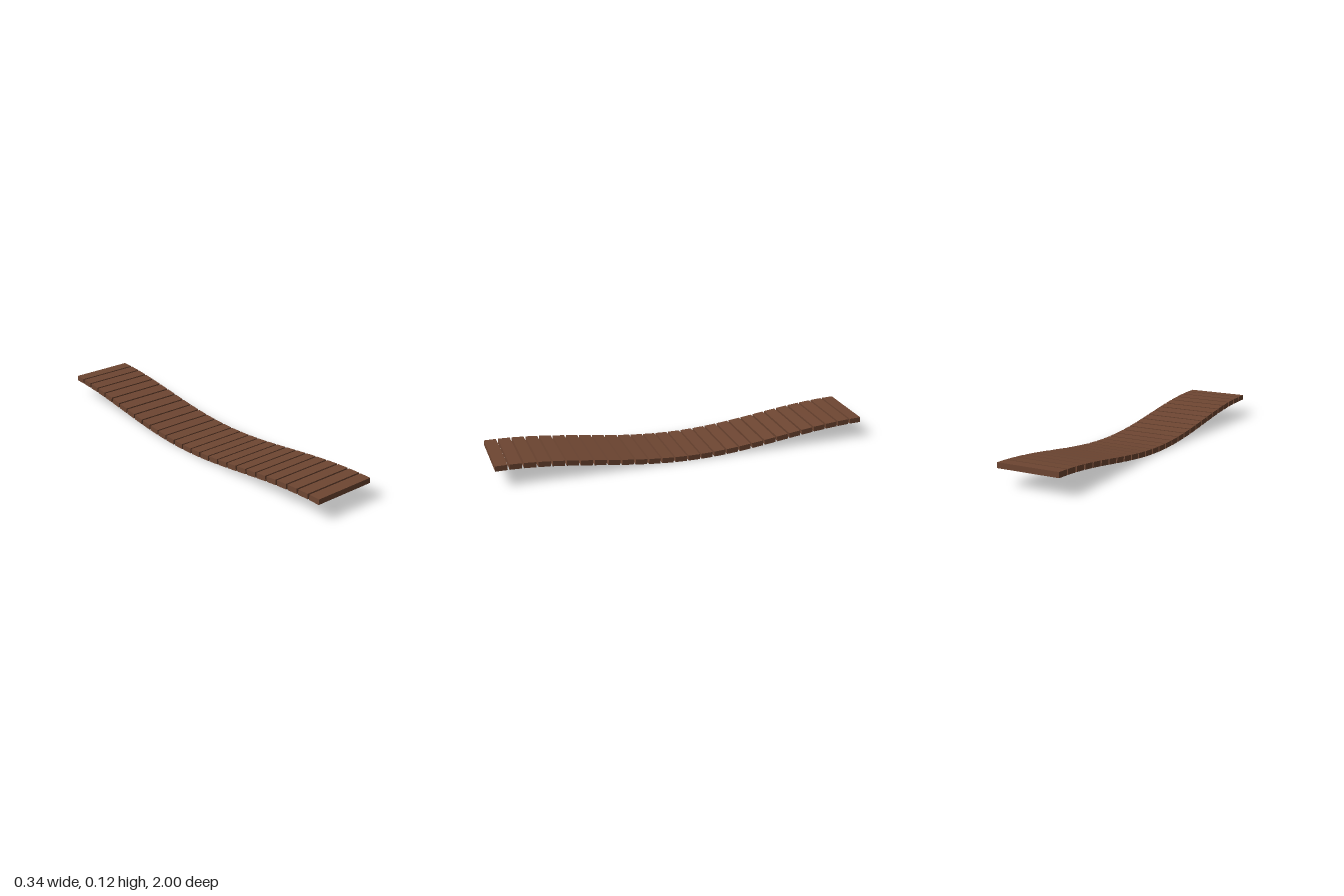
import * as THREE from 'three';

const COUNT = 28, WIDTH = 0.342, THICK = 0.028, DEPTH = 0.062;
const PITCH = (2 - DEPTH) / (COUNT - 1);
const SAG = 0.087;

export function createModel() {
  const bridge = new THREE.Group();
  bridge.name = 'plankBridge';
  const wood = new THREE.MeshStandardMaterial({ color: 0x6e4632 });
  const plankGeometry = new THREE.BoxGeometry(WIDTH, THICK, DEPTH);

  // Planks hang along a cosine sag, each tilted to follow the curve
  for (let i = 0; i < COUNT; i++) {
    const phase = (i / COUNT) * Math.PI * 2;
    const slope = (SAG / 2) * Math.sin(phase) * (Math.PI * 2 / COUNT) / PITCH;
    const plank = new THREE.Mesh(plankGeometry, wood);
    plank.name = `plank${i + 1}`;
    plank.position.set(0, THICK / 2 + SAG * (1 + Math.cos(phase)) / 2, 1 - DEPTH / 2 - i * PITCH);
    plank.rotation.x = -Math.atan(slope);
    bridge.add(plank);
  }
  return bridge;
}
